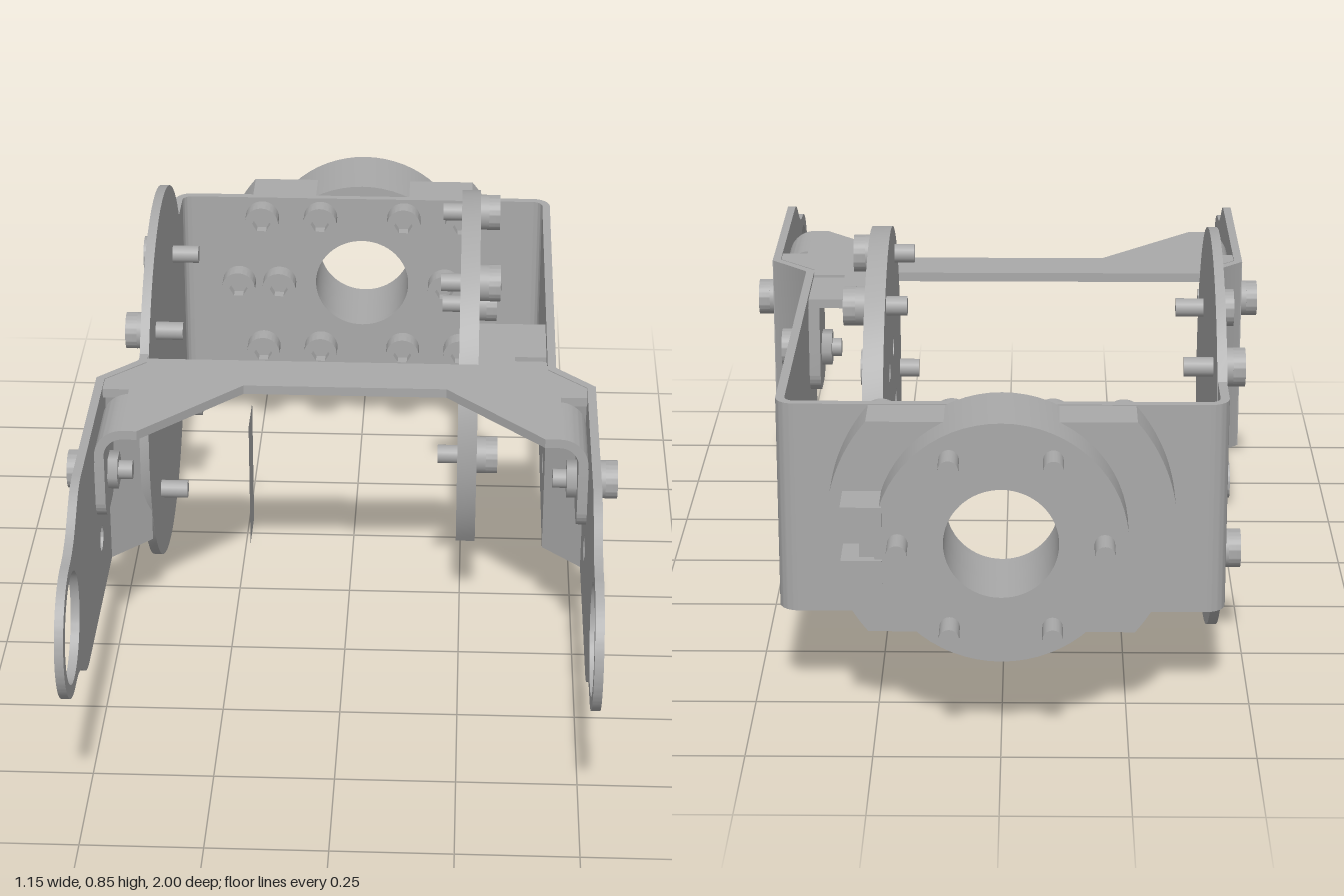
import * as THREE from 'three';
import { toCreasedNormals } from 'three/addons/utils/BufferGeometryUtils.js';

const metal = new THREE.MeshStandardMaterial({ color: 0xa9a9a9 });
metal.name = 'metal grey';
const sheet = new THREE.MeshStandardMaterial({ color: 0xa9a9a9, side: THREE.DoubleSide });
sheet.name = 'sheet grey';

const Y0 = 0.205, Y1 = 0.645, CY = 0.423, CZ = -0.26;

export function createModel() {
  const model = new THREE.Group();
  const add = (geo, name, parent = model, mat = metal) => {
    const m = new THREE.Mesh(geo, mat);
    m.name = name;
    parent.add(m);
    return m;
  };
  const extrude = (shape, depth) => toCreasedNormals(
    new THREE.ExtrudeGeometry(shape, { depth, bevelEnabled: false, curveSegments: 32 }), 0.6);
  // plates drawn in (z, y), (x, z) and (x, y)
  const plateX = (shape, x0, x1) => extrude(shape, x1 - x0).rotateY(-Math.PI / 2).translate(x1, 0, 0);
  const plateY = (shape, y0, y1) => extrude(shape, y1 - y0).rotateX(Math.PI / 2).translate(0, y1, 0);
  const plateZ = (shape, z0, z1) => extrude(shape, z1 - z0).translate(0, 0, z0);
  const poly = pts => new THREE.Shape(pts.map(p => new THREE.Vector2(...p)));
  const disc = (x, y, r) => { const s = new THREE.Shape(); s.absarc(x, y, r, 0, Math.PI * 2); return s; };
  const cut = (s, x, y, r) => {
    const h = new THREE.Path();
    h.absarc(x, y, r, 0, Math.PI * 2, true);
    s.holes.push(h);
    return s;
  };
  // plate drawn on the +x side, optionally moved to the -x side
  const sidePlate = (shape, x0, x1, s) => s > 0 ? plateX(shape, x0, x1) : plateX(shape, -x1, -x0);
  const mirrorX = (pts, s) => pts.map(([x, y]) => [x * s, y]);

  // socket-head bolt: head points along +z, shank along -z
  const headShape = disc(0, 0, 0.04);
  const hex = [];
  for (let i = 0; i < 6; i++) hex.push(new THREE.Vector2(Math.cos(-i * Math.PI / 3), Math.sin(-i * Math.PI / 3)).multiplyScalar(0.022));
  headShape.holes.push(new THREE.Path(hex));
  const headGeo = extrude(headShape, 0.025).translate(0, 0, 0.02);
  const baseGeo = new THREE.CylinderGeometry(0.04, 0.04, 0.02, 32).rotateX(Math.PI / 2).translate(0, 0, 0.01);
  const bolt = (name, x, y, z, turn, length) => {
    const g = new THREE.Group();
    g.name = name;
    add(headGeo, 'boltHead', g);
    add(baseGeo, 'boltHeadBase', g);
    add(new THREE.CylinderGeometry(0.02, 0.02, length, 20).rotateX(Math.PI / 2).translate(0, 0, -length / 2), 'boltShank', g);
    g.position.set(x, y, z);
    g.rotation.y = turn;
    model.add(g);
  };

  for (const s of [1, -1]) {
    const side = s > 0 ? 'left' : 'right';
    // front arm ending in an eye
    const arm = new THREE.Shape();
    arm.moveTo(0.21, Y0);
    arm.lineTo(0.64, Y0);
    arm.bezierCurveTo(0.73, Y0, 0.74, 0.285, 0.84, CY - 0.14);
    arm.absarc(0.86, CY, 0.14, -Math.PI / 2, Math.PI / 2);
    arm.bezierCurveTo(0.74, 0.565, 0.73, Y1, 0.64, Y1);
    arm.lineTo(0.21, Y1);
    cut(arm, 0.86, CY, 0.113);
    cut(arm, 0.37, 0.342, 0.027);
    add(sidePlate(arm, 0.512, 0.53, s), side + 'Arm');

    // inward jog and rounded rear corner
    add(plateY(poly(mirrorX([[0.53, 0.212], [0.512, 0.218], [0.43, 0.136], [0.43, 0.125], [0.448, 0.125], [0.45, 0.13]], s)), Y0, Y1), side + 'Jog');
    const corner = new THREE.Shape();
    corner.absarc(0.408, -0.718, 0.04, 0, -Math.PI / 2, true);
    corner.absarc(0.408, -0.718, 0.022, -Math.PI / 2, 0, false);
    add(plateY(poly(mirrorX(corner.getPoints(10).map(p => [p.x, p.y]), s)), Y0, Y1), side + 'RearBend');

    // side wall
    const wall = poly([[-0.718, Y0], [0.125, Y0], [0.125, Y1], [-0.718, Y1]]);
    if (s > 0) cut(wall, 0, 0.342, 0.027);
    add(sidePlate(wall, 0.43, 0.448, s), side + 'Wall');

    // folded tab of the top plate, fixed to the arm
    const bend = new THREE.Shape();
    bend.moveTo(0.44, Y1);
    bend.lineTo(0.45, Y1);
    bend.absarc(0.45, 0.585, 0.06, Math.PI / 2, 0, true);
    bend.lineTo(0.51, 0.56);
    bend.lineTo(0.49, 0.56);
    bend.absarc(0.45, 0.585, 0.04, 0, Math.PI / 2, false);
    bend.lineTo(0.44, 0.625);
    add(plateZ(poly(mirrorX(bend.getPoints(10).map(p => [p.x, p.y]), s)), 0.285, 0.45), side + 'TabBend');
    add(sidePlate(tabShape(0.285, 0.45), 0.49, 0.511, s), side + 'Tab');
    add(new THREE.CylinderGeometry(0.04, 0.04, 0.022, 6).rotateZ(Math.PI / 2).translate(s * 0.48, 0.51, 0.37), side + 'Nut');
    bolt(side + 'ArmBolt', s * 0.53, 0.51, 0.37, s * Math.PI / 2, 0.09);
  }

  // tab with rounded lower corners, drawn in (z, y)
  function tabShape(z0, z1) {
    const t = new THREE.Shape(), r = 0.05, b = 0.425;
    t.moveTo(z0, 0.565);
    t.lineTo(z0, b + r);
    t.absarc(z0 + r, b + r, r, Math.PI, Math.PI * 1.5);
    t.absarc(z1 - r, b + r, r, -Math.PI / 2, 0);
    t.lineTo(z1, 0.565);
    return t;
  }

  // top cross plate with slots beside the folds
  const half = [[0.43, 0.12], [0.43, 0.14], [0.511, 0.22], [0.511, 0.265], [0.455, 0.265], [0.455, 0.285], [0.44, 0.285], [0.44, 0.45], [0.42, 0.45], [0.215, 0.237]];
  add(plateY(poly([...half, ...mirrorX(half, -1).reverse()]), 0.625, Y1), 'topPlate');

  // rear wall with central opening
  const rear = poly([[-0.408, Y0], [0.408, Y0], [0.408, Y1], [-0.408, Y1]]);
  add(plateZ(cut(rear, 0, CY, 0.112), -0.758, -0.74), 'rearWall');

  // round cheek on the right wall
  add(plateX(disc(CZ, CY, 0.423), -0.449, -0.429), 'roundCheek');
  for (const z of [-0.46, -0.06]) for (const y of [CY + 0.2, CY - 0.2])
    bolt('cheekBolt', -0.449, y, z, -Math.PI / 2, 0.08);

  // horseshoe ring, its thin ledge and the perforated disc
  const horseshoe = (r0, r1, drop) => {
    const s = new THREE.Shape(), a = Math.asin(drop / r1), b = Math.asin(drop / r0);
    s.absarc(CZ, CY, r1, -a, Math.PI + a);
    s.absarc(CZ, CY, r0, Math.PI + b, -b, true);
    return s;
  };
  add(plateX(horseshoe(0.31, 0.423, 0.23), 0.24, 0.282), 'horseshoeRing');
  add(plateX(horseshoe(0.25, 0.312, 0.23), 0.24, 0.255), 'ringLedge');
  const web = disc(CZ, CY, 0.256);
  for (let i = 0; i < 6; i++) cut(web, CZ + 0.17 * Math.cos(i * Math.PI / 3), CY + 0.17 * Math.sin(i * Math.PI / 3), 0.022);
  add(plateX(web, 0.24, 0.254), 'perforatedDisc');
  for (const a of [0, 60, 120, 180]) {
    const t = a * Math.PI / 180;
    bolt('ringBolt', 0.282, CY + 0.375 * Math.sin(t), CZ + 0.375 * Math.cos(t), Math.PI / 2, 0.085);
  }

  // bracket tying the ring to the left wall
  add(plateY(poly([[0.282, -0.08], [0.428, -0.08], [0.428, 0.08], [0.36, 0.08], [0.36, 0.1], [0.428, 0.1], [0.428, 0.12], [0.282, 0.12]]), 0.625, Y1), 'ringBracket');
  add(plateX(tabShape(-0.08, 0.08), 0.405, 0.429), 'bracketTab');
  add(new THREE.BoxGeometry(0.024, 0.062, 0.16).translate(0.417, 0.595, 0), 'bracketTabTop');
  add(new THREE.CylinderGeometry(0.04, 0.04, 0.022, 6).rotateZ(Math.PI / 2).translate(0.394, 0.51, 0), 'bracketNut');
  bolt('bracketBolt', 0.448, 0.51, 0, Math.PI / 2, 0.085);

  // thin flat panel between the cheeks
  add(new THREE.PlaneGeometry(0.12, 0.31).rotateY(Math.PI / 2).translate(-0.24, 0.155, CZ), 'thinPanel', model, sheet);

  // rear coupling: flat-sided base and round hub
  const base = new THREE.Shape(), flat = Math.asin(0.22 / 0.343);
  base.absarc(0, CY, 0.343, -flat, flat);
  base.absarc(0, CY, 0.343, Math.PI - flat, Math.PI + flat);
  add(plateZ(cut(base, 0, CY, 0.112), -0.855, -0.758), 'couplingBase');
  add(plateZ(cut(disc(0, CY, 0.247), 0, CY, 0.112), -0.938, -0.757), 'couplingHub');
  for (const y of [0.475, 0.365])
    add(new THREE.BoxGeometry(0.08, 0.05, 0.09).translate(0.27, y, -0.9), 'connectorJaw');
  add(new THREE.BoxGeometry(0.05, 0.06, 0.07).translate(0.25, 0.42, -0.89), 'connectorCore');

  // bolts through the rear wall
  for (let i = 0; i < 6; i++) {
    const t = i * Math.PI / 3;
    bolt('hubBolt', 0.2 * Math.cos(t), CY + 0.2 * Math.sin(t), -0.742, 0, 0.258);
  }
  for (const s of [1, -1]) for (const [x, y] of [[0.24, 0.595], [0.298, CY], [0.24, 0.25]])
    bolt('baseBolt', s * x, y, -0.742, 0, 0.08);

  return model;
}
